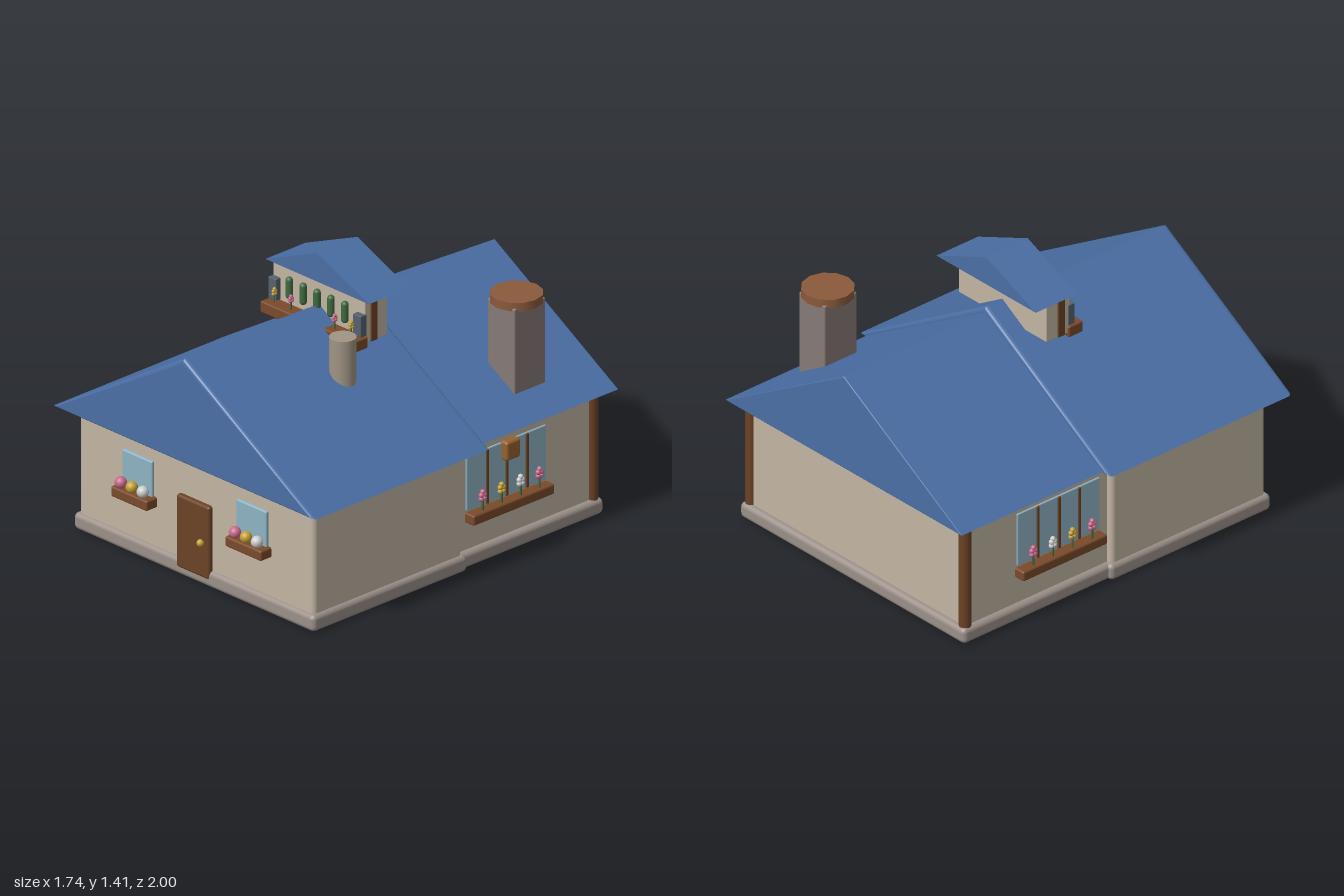
import * as THREE from 'three';
import { RoundedBoxGeometry } from 'three/addons/geometries/RoundedBoxGeometry.js';

const mat = (color) => new THREE.MeshStandardMaterial({ color });
const M = {
  wall: mat(0xc2b5a3), base: mat(0x9b9089), roof: mat(0x4a6fa5), wood: mat(0x6b4226),
  box: mat(0x7a4a2a), glass: mat(0x8fb3c4), chimney: mat(0x857a76), clay: mat(0x8b5a3c),
  pipe: mat(0xa09484), pink: mat(0xc96a8c), yellow: mat(0xc4a035), white: mat(0xd8d8d8),
  green: mat(0x3f6b42), shutter: mat(0x56616e), lantern: mat(0x94622f),
};

export function createModel() {
  const house = new THREE.Group();
  house.name = 'house';

  function add(name, geometry, material, x, y, z, parent = house) {
    const mesh = new THREE.Mesh(geometry, material);
    mesh.name = name;
    mesh.position.set(x, y, z);
    parent.add(mesh);
    return mesh;
  }
  // Rounded box given by its min and max on each axis
  function box(name, material, [x0, x1], [y0, y1], [z0, z1], r = 0.008, parent = house) {
    const g = new RoundedBoxGeometry(x1 - x0, y1 - y0, z1 - z0, 3, r);
    return add(name, g, material, (x0 + x1) / 2, (y0 + y1) / 2, (z0 + z1) / 2, parent);
  }
  // Solid gable roof running along z, with bevelled ends
  function gable(name, halfWidth, y0, y1, z0, z1, bevel) {
    const s = new THREE.Shape();
    s.moveTo(-halfWidth, y0);
    s.lineTo(halfWidth, y0);
    s.lineTo(0, y1);
    s.closePath();
    const g = new THREE.ExtrudeGeometry(s, {
      depth: z1 - z0 - 2 * bevel, bevelEnabled: bevel > 0, bevelThickness: bevel,
      bevelSize: bevel, bevelOffset: -bevel, bevelSegments: 3,
    });
    add(name, g, M.roof, 0, 0, z0 + bevel);
  }
  const ball = (name, r, material, x, y, z, parent) =>
    add(name, new THREE.SphereGeometry(r, 16, 12), material, x, y, z, parent);

  // Foundations and walls
  box('frontBase', M.base, [-0.8, 0.8], [0, 0.085], [-0.06, 0.93], 0.025);
  box('rearBase', M.base, [-0.78, 0.78], [0.002, 0.083], [-0.95, 0], 0.025);
  box('frontWalls', M.wall, [-0.78, 0.78], [0.05, 0.64], [-0.04, 0.91], 0.025);
  box('rearWalls', M.wall, [-0.75, 0.75], [0.05, 0.65], [-0.92, 0], 0.015);

  // Roofs
  gable('frontRoof', 0.87, 0.62, 1.15, -0.13, 0.995, 0.02);
  gable('rearRoof', 0.82, 0.63, 1.12, -1, 0, 0.006);
  gable('dormerRoof', 0.345, 1.267, 1.412, -0.12, 0.137, 0);

  // Door with knob
  box('door', M.wood, [-0.11, 0.11], [0.04, 0.41], [0.88, 0.935], 0.014);
  ball('doorKnob', 0.018, M.yellow, 0.063, 0.22, 0.945);

  // Front windows with planters
  for (const cx of [-0.38, 0.38]) {
    const w = new THREE.Group();
    w.name = 'frontWindow';
    house.add(w);
    box('glass', M.glass, [cx - 0.1, cx + 0.1], [0.3, 0.51], [0.89, 0.925], 0.008, w);
    box('planter', M.box, [cx - 0.12, cx + 0.12], [0.28, 0.332], [0.9, 0.978], 0.01, w);
    [M.pink, M.yellow, M.white].forEach((m, i) =>
      ball('bloom', 0.029, m, cx + (i - 1) * 0.073, 0.36, 0.957, w));
  }

  // Stemmed flower made of a few small balls
  function flower(material, x, y, z, height, r, parent) {
    const stem = new THREE.CylinderGeometry(r * 0.4, r * 0.4, height, 8);
    add('stem', stem, M.green, x, y + height / 2, z, parent);
    for (const [dy, dz] of [[0, -0.7], [0, 0.7], [1.5, -0.7], [1.5, 0.7], [2.6, 0]])
      ball('petal', r, material, x, y + height + dy * r, z + dz * r, parent);
  }

  // Long side windows, corner posts
  for (const s of [-1, 1]) {
    const w = new THREE.Group();
    w.name = s > 0 ? 'leftWindow' : 'rightWindow';
    house.add(w);
    const span = (a, b) => (s > 0 ? [a, b] : [-b, -a]);
    box('glass', M.glass, span(0.73, 0.758), [0.28, 0.558], [-0.6, -0.09], 0.006, w);
    for (const z of [-0.22, -0.345, -0.475])
      box('mullion', M.wood, span(0.74, 0.765), [0.28, 0.555], [z - 0.008, z + 0.008], 0.004, w);
    box('planter', M.box, span(0.74, 0.808), [0.22, 0.272], [-0.607, -0.088], 0.01, w);
    [M.pink, M.yellow, M.white, M.pink].forEach((m, i) =>
      flower(m, s * 0.787, 0.265, -0.165 - i * 0.121, 0.067, 0.013, w));
    add('cornerPost', new THREE.CylinderGeometry(0.03, 0.03, 0.58, 16), M.wood, s * 0.74, 0.355, -0.907);
  }
  box('lantern', M.lantern, [0.745, 0.795], [0.47, 0.568], [-0.402, -0.312], 0.014);

  // Chimney and vent pipe
  box('chimneyShaft', M.chimney, [0.49, 0.67], [0.6, 1.15], [-0.68, -0.48], 0.008);
  add('chimneyCap', new THREE.CylinderGeometry(0.126, 0.126, 0.043, 12), M.clay, 0.58, 1.158, -0.58);
  add('ventPipe', new THREE.CylinderGeometry(0.064, 0.064, 0.4, 20), M.pipe, 0.325, 0.945, 0.285);

  // Dormer room with balcony planter
  const dormer = new THREE.Group();
  dormer.name = 'dormer';
  house.add(dormer);
  box('dormerWalls', M.wall, [-0.305, 0.305], [1.05, 1.275], [-0.02, 0.125], 0.005, dormer);
  box('balconyPlanter', M.box, [-0.315, 0.315], [1.027, 1.085], [0.112, 0.2], 0.008, dormer);
  for (let i = -2; i <= 2; i++)
    add('shrub', new THREE.CapsuleGeometry(0.018, 0.075, 6, 12), M.green, i * 0.0925, 1.175, 0.138, dormer);
  for (const s of [-1, 1]) {
    const x = s * 0.282;
    box('shutter', M.shutter, [x - 0.026, x + 0.026], [1.088, 1.197], [0.115, 0.155], 0.004, dormer);
    box('dormerPost', M.wood, [s * 0.304 - 0.008, s * 0.304 + 0.008], [1.05, 1.27], [0.05, 0.09], 0.004, dormer);
    flower(M.pink, s * 0.145, 1.075, 0.165, 0.055, 0.009, dormer);
    flower(M.yellow, s * 0.255, 1.075, 0.165, 0.055, 0.009, dormer);
  }
  return house;
}
